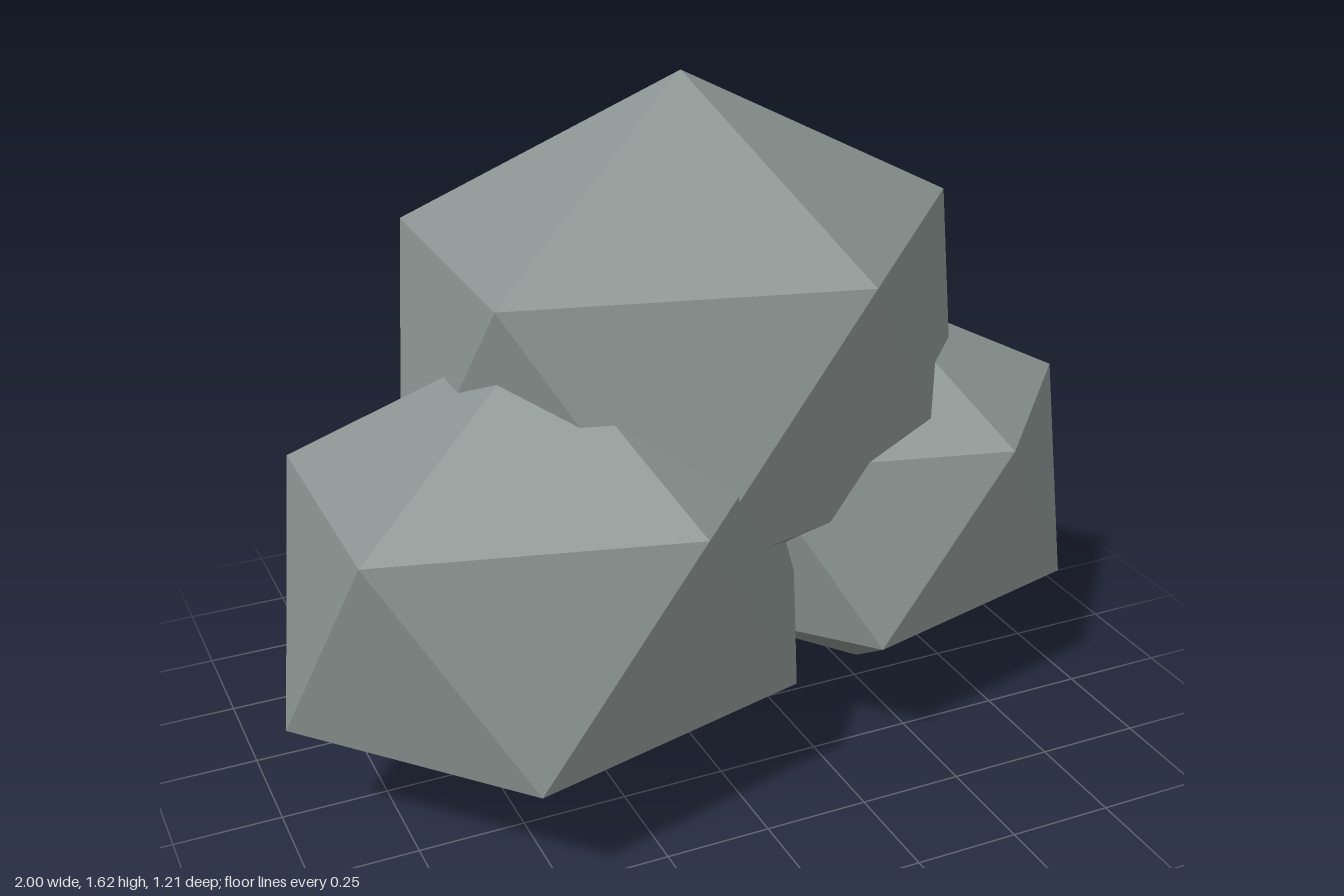
import * as THREE from 'three';

// Faceted boulder: an icosahedron standing on one corner, squashed in height and depth
function boulder(name, radius, position, material) {
  const golden = (1 + Math.sqrt(5)) / 2;
  const geometry = new THREE.IcosahedronGeometry(radius, 0);
  geometry.rotateZ(-Math.atan(1 / golden)); // bring a corner to the top
  geometry.scale(1, 0.85, 0.8);
  geometry.computeVertexNormals();
  const mesh = new THREE.Mesh(geometry, material);
  mesh.name = name;
  mesh.position.set(...position);
  return mesh;
}

export function createModel() {
  const stone = new THREE.MeshStandardMaterial({ color: 0x8b9492 });
  stone.name = 'grey stone';

  const model = new THREE.Group();
  model.name = 'rockPile';
  model.add(
    boulder('topBoulder', 0.774, [0.04, 0.965, -0.075], stone),
    boulder('rightBoulder', 0.681, [-0.39, 0.579, 0.14], stone),
    boulder('leftBoulder', 0.581, [0.48, 0.58, 0.04], stone),
  );
  return model;
}
